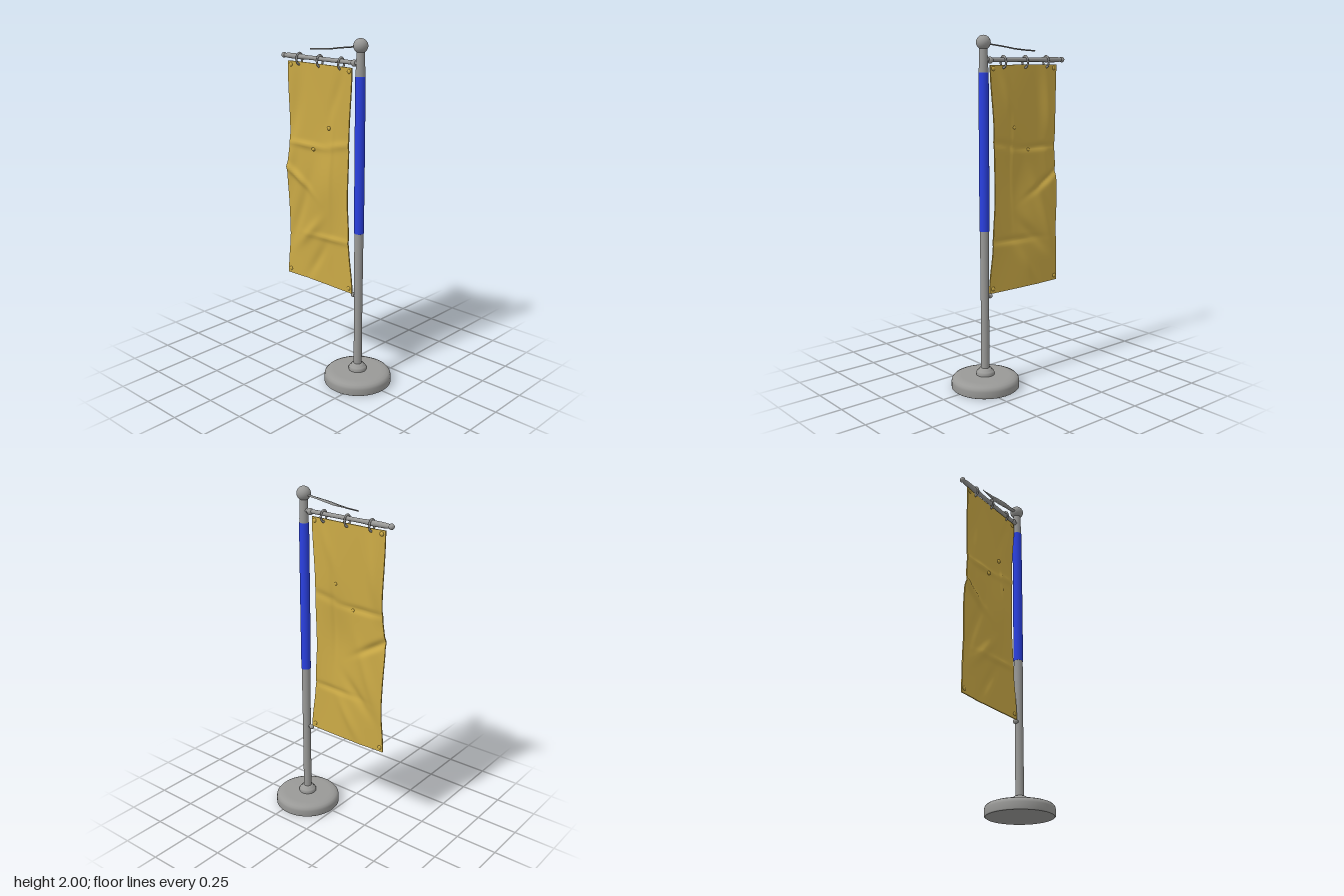
import * as THREE from 'three';

const POLE_Z = 0.2;

export function createModel() {
  const model = new THREE.Group();
  const metal = new THREE.MeshStandardMaterial({ color: 0x999997 });
  metal.name = 'grey metal';
  const blue = new THREE.MeshStandardMaterial({ color: 0x2a40e0 });
  blue.name = 'blue sleeve';
  const gold = new THREE.MeshStandardMaterial({ color: 0xcbaa46 });
  gold.name = 'gold cloth';

  const add = (name, geometry, material, x = 0, y = 0, z = 0) => {
    const mesh = new THREE.Mesh(geometry, material);
    mesh.name = name;
    mesh.position.set(x, y, z);
    model.add(mesh);
    return mesh;
  };
  const lathe = (points, segments = 32) =>
    new THREE.LatheGeometry(points.map(([r, y]) => new THREE.Vector2(r, y)), segments);
  const ball = (name, r, x, y, z, material = metal) =>
    add(name, new THREE.SphereGeometry(r, 20, 14), material, x, y, z);

  // Round foot with a softened rim, and the collar holding the pole
  add('base', lathe([[0, 0], [0.19, 0], [0.19, 0], [0.196, 0.005], [0.196, 0.04], [0.193, 0.053],
    [0.183, 0.064], [0.165, 0.071], [0.14, 0.074], [0, 0.076]], 64), metal, 0, 0, POLE_Z);
  add('collar', lathe([[0.052, 0.07], [0.053, 0.088], [0.048, 0.098], [0.038, 0.103],
    [0.036, 0.112], [0.024, 0.116]]), metal, 0, 0, POLE_Z);

  // Pole, coloured sleeve and finial
  add('pole', lathe([[0.024, 0.09], [0.024, 0.5], [0.026, 0.95], [0.026, 1.82], [0.023, 1.9],
    [0.022, 1.95]]), metal, 0, 0, POLE_Z);
  add('sleeve', lathe([[0.025, 0.92], [0.028, 0.922], [0.0285, 1.3], [0.028, 1.797], [0.025, 1.8]]),
    blue, 0, 0, POLE_Z);
  ball('finial', 0.04, 0, 1.96, POLE_Z);

  // Cross rod, thicker toward the free end, with an end knob and a root socket
  const rod = add('crossRod', lathe([[0.013, 0], [0.012, 0.05], [0.012, 0.38], [0.016, 0.45],
    [0.015, 0.52], [0.012, 0.55], [0.012, 0.57]], 20), metal, 0, 1.868, 0.18);
  rod.rotation.x = -Math.PI / 2;
  ball('rodKnob', 0.016, 0, 1.868, -0.384);
  ball('rodSocket', 0.019, 0, 1.866, 0.155);

  // Hanging rings with little side studs
  for (const z of [0.06, -0.1, -0.26]) {
    const ring = add('hangingRing', new THREE.TorusGeometry(0.024, 0.0055, 8, 24), metal, 0, 1.856, z);
    ring.scale.y = 1.3;
    for (const side of [-1, 1]) ball('ringStud', 0.007, side * 0.024, 1.856, z);
  }

  // Tapering loose strip reaching back from the finial
  const strip = new THREE.BufferGeometry();
  const sections = [[0.17, 1.953, 0.014], [0.1, 1.945, 0.016], [0.03, 1.936, 0.021],
    [-0.02, 1.928, 0.02], [-0.09, 1.922, 0.011], [-0.175, 1.917, 0.002]];
  const stripPoints = [];
  const stripFaces = [];
  sections.forEach(([z, y, w], i) => {
    stripPoints.push(-w, y, z, 0, y + 0.004, z, w, y, z, 0, y - 0.004, z);
    if (i === 0) return;
    for (let k = 0; k < 4; k++) {
      const a = (i - 1) * 4 + k, b = (i - 1) * 4 + (k + 1) % 4;
      stripFaces.push(a, b, a + 4, b, b + 4, a + 4);
    }
  });
  strip.setAttribute('position', new THREE.Float32BufferAttribute(stripPoints, 3));
  strip.setIndex(stripFaces);
  strip.computeVertexNormals();
  add('strip', strip, metal);

  // Lower tie: a peg on the pole
  const peg = add('lowerPeg', new THREE.CylinderGeometry(0.009, 0.012, 0.03, 14), metal, 0, 0.54, 0.172);
  peg.rotation.x = -Math.PI / 2;
  ball('lowerPegKnob', 0.014, 0, 0.537, 0.162);

  // Cloth edges by height, and sideways folds as a sum of soft bumps
  const edge = (points, y) => {
    let i = 0;
    while (i < points.length - 2 && y > points[i + 1][0]) i++;
    const [y0, z0] = points[i], [y1, z1] = points[i + 1];
    return THREE.MathUtils.lerp(z0, z1, THREE.MathUtils.smoothstep(y, y0, y1));
  };
  const nearEdge = [[0.545, 0.16], [0.85, 0.13], [1.1, 0.118], [1.45, 0.125], [1.84, 0.148]];
  const farEdge = [[0.545, -0.362], [0.85, -0.348], [1.15, -0.358], [1.4, -0.335], [1.84, -0.345]];
  // Each fold: centre z, centre y, length, width, tilt, depth
  const folds = [
    [-0.04, 1.15, 0.22, 0.1, 1.4, -0.02], [-0.29, 1.18, 0.13, 0.02, -0.55, -0.016],
    [-0.2, 1.37, 0.14, 0.016, 0, -0.01], [-0.28, 1.55, 0.25, 0.05, 1.5, 0.018],
    [0.0, 0.84, 0.16, 0.016, 0.05, -0.009], [-0.17, 0.85, 0.12, 0.03, 0.8, -0.013],
    [0.0, 1.3, 0.25, 0.015, 1.55, -0.007], [-0.26, 0.95, 0.22, 0.035, 1.2, 0.012],
    [0.06, 1.4, 0.1, 0.02, 0.2, -0.007], [-0.12, 0.68, 0.14, 0.03, 1.0, 0.01],
    [-0.32, 1.3, 0.2, 0.04, 1.3, -0.012], [0.03, 1.68, 0.14, 0.03, 1.2, 0.006],
  ];
  const clothX = (y, z) => {
    let x = -0.006 + 0.003 * Math.sin(9 * z + 5 * y);
    for (const [cz, cy, length, width, tilt, depth] of folds) {
      const dz = z - cz, dy = y - cy;
      const along = (dz * Math.cos(tilt) + dy * Math.sin(tilt)) / length;
      const across = (dy * Math.cos(tilt) - dz * Math.sin(tilt)) / width;
      x += depth * Math.exp(-along * along - across * across);
    }
    return x;
  };
  const cloth = new THREE.BoxGeometry(0.007, 1, 1, 1, 110, 50);
  const p = cloth.attributes.position;
  for (let i = 0; i < p.count; i++) {
    const y = 0.545 + (p.getY(i) + 0.5) * 1.295;
    const z = THREE.MathUtils.lerp(edge(farEdge, y), edge(nearEdge, y), p.getZ(i) + 0.5);
    p.setXYZ(i, p.getX(i) + clothX(y, z), y, z);
  }
  cloth.computeVertexNormals();
  add('banner', cloth, gold);

  // Corner buttons through the cloth, and two small puckers on its right side
  for (const [y, z] of [[1.82, 0.128], [1.82, -0.322], [0.572, 0.135], [0.572, -0.342]]) {
    ball('cornerButton', 0.013, clothX(y, z), y, z, gold).scale.x = 0.8;
  }
  for (const [y, z] of [[1.49, -0.022], [1.355, -0.135]]) {
    ball('pucker', 0.012, clothX(y, z) - 0.004, y, z, gold);
  }

  return model;
}
